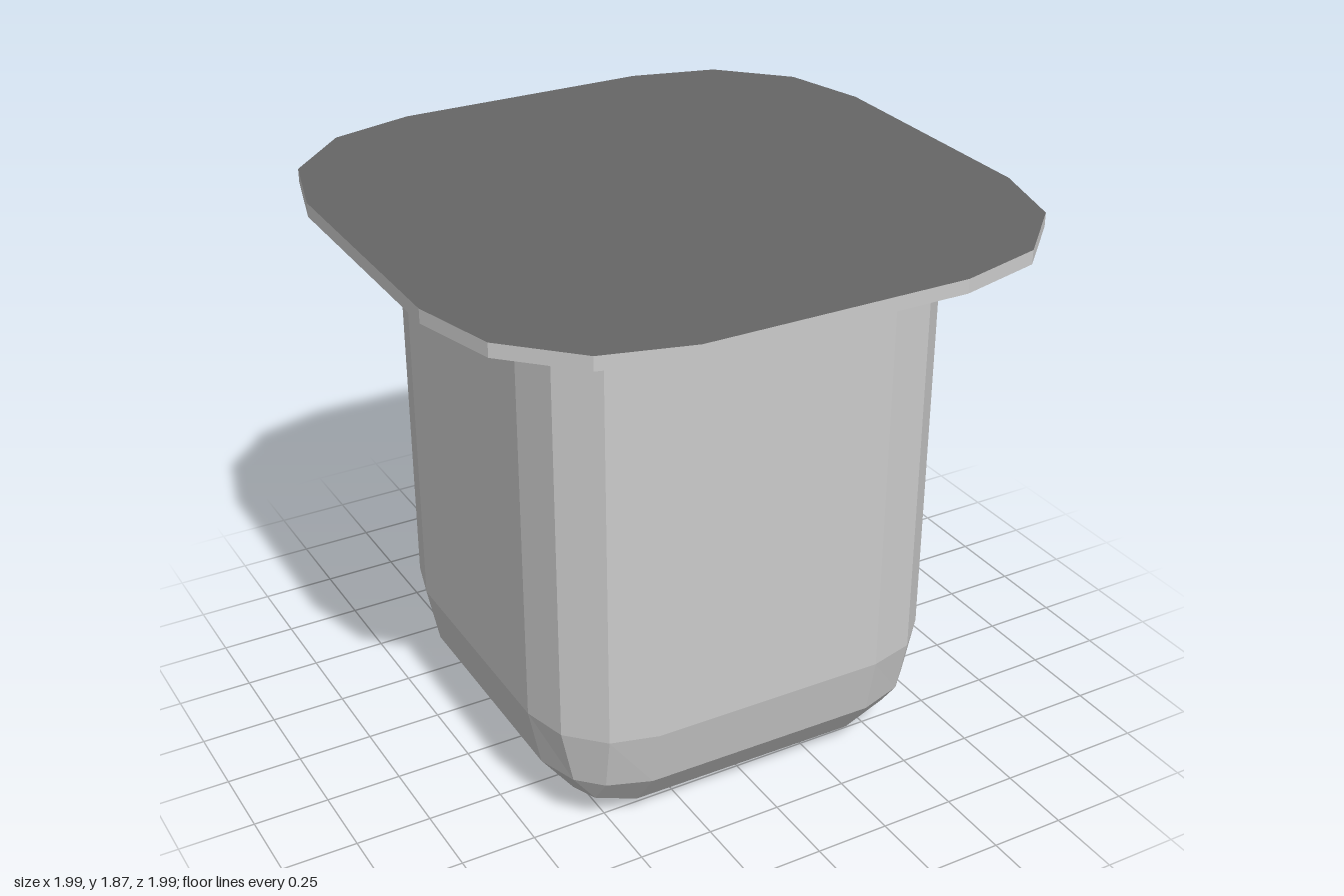
import * as THREE from 'three';

// Directions around one rounded corner, from the x side to the z side: [x, depth, z]
const ARC = [[1, 0, 0], [0.866, 0, 0.5], [0.5, 0, 0.866], [0, 0, 1]];
const LOWER = [[0.866, 0.5, 0], [0.73, 0.48, 0.48], [0.48, 0.48, 0.73], [0, 0.5, 0.866]];
const LOWEST = [[0.5, 0.866, 0], [0.48, 0.73, 0.48], [0.48, 0.73, 0.48], [0, 0.866, 0.5]];
const FLAT = [[0, 1, 0], [0, 1, 0], [0, 1, 0], [0, 1, 0]];

// Closed rounded-square ring: the corner arc repeated by quarter turns
function ring(dirs, core, radius, y, depth = 0) {
  const points = [];
  for (let k = 0; k < 4; k++) {
    for (const [dx, dy, dz] of dirs) {
      points.push(new THREE.Vector3(core + radius * dx, y - depth * dy, core + radius * dz)
        .applyAxisAngle(new THREE.Vector3(0, 1, 0), -k * Math.PI / 2));
    }
  }
  return points;
}

// Faceted surface through rings listed from bottom to top, with optional end caps
function loft(name, rings, { bottom = false, top = false, color = 0xcccccc } = {}) {
  const corners = [];
  const tri = (a, b, c) => {
    const area = b.clone().sub(a).cross(c.clone().sub(a)).length();
    if (area > 1e-7) corners.push(a, b, c);
  };
  const n = rings[0].length;
  for (let r = 0; r < rings.length - 1; r++) {
    for (let i = 0; i < n; i++) {
      const j = (i + 1) % n;
      const [a, b] = [rings[r][i], rings[r][j]];
      const [c, d] = [rings[r + 1][j], rings[r + 1][i]];
      tri(a, d, c);
      tri(a, c, b);
    }
  }
  const last = rings[rings.length - 1];
  for (let i = 1; i < n - 1; i++) {
    if (bottom) tri(rings[0][0], rings[0][i], rings[0][i + 1]);
    if (top) tri(last[0], last[i + 1], last[i]);
  }
  const geometry = new THREE.BufferGeometry().setFromPoints(corners);
  geometry.computeVertexNormals();
  const mesh = new THREE.Mesh(geometry,
    new THREE.MeshStandardMaterial({ color, flatShading: true }));
  mesh.name = name;
  return mesh;
}

export function createModel() {
  const group = new THREE.Group();
  group.name = 'flangedContainer';

  // Square tub with rounded uprights and a bevelled base
  const core = 0.4, radius = 0.302, bevel = 0.4;
  group.add(loft('body', [
    ring(FLAT, core, radius, bevel, bevel),
    ring(LOWEST, core, radius, bevel, bevel),
    ring(LOWER, core, radius, bevel, bevel),
    ring(ARC, core, radius, bevel),
    ring(ARC, core, radius, 1.825),
  ], { bottom: true }));

  // Thin overhanging flange with a darker top face
  const low = ring(ARC, 0.43, 0.563, 1.825);
  const high = ring(ARC, 0.43, 0.563, 1.87);
  group.add(loft('flange', [low, high], { bottom: true }));
  group.add(loft('lidTop', [high], { top: true, color: 0x666666 }));

  // Slight turn about the vertical axis
  group.rotation.y = -0.01;
  return group;
}
